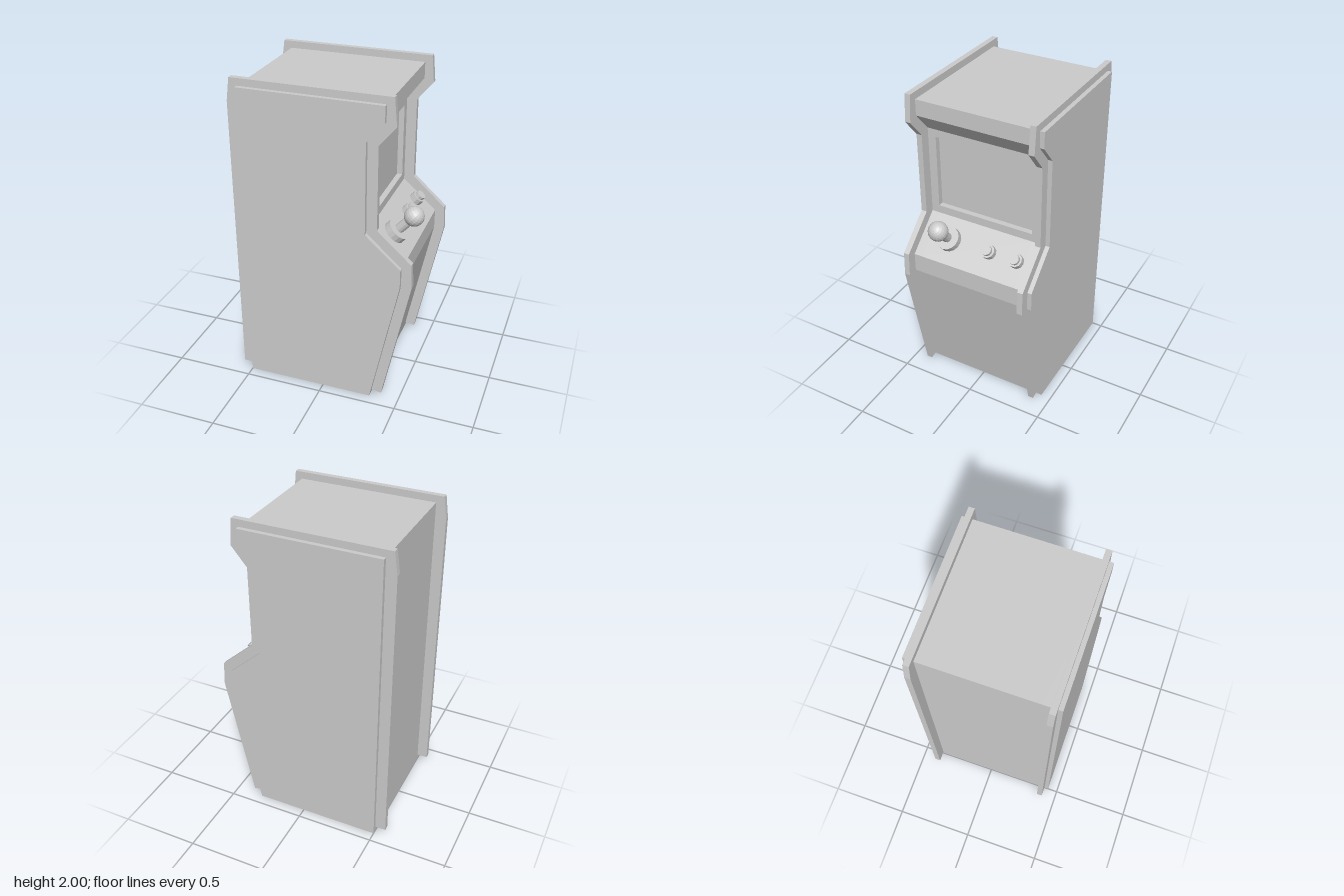
import * as THREE from 'three';

const material = new THREE.MeshStandardMaterial({ color: 0xcccccc, flatShading: true });

// Side outlines in the x-y plane; the cabinet faces +x
const screenNotch = [[0.272, 1.685], [0.237, 1.685], [0.237, 1.214], [0.272, 1.214]];
const bodyOutline = (notch = []) => [
  [-0.5, 0], [-0.5, 1.955], [0.377, 1.955], [0.377, 1.855], [0.272, 1.733],
  ...notch,
  [0.272, 1.162], [0.49, 0.966], [0.49, 0.845], [0.315, 0],
];
const trimOutline = [
  [-0.568, 0.034], [-0.568, 1.86], [-0.548, 2], [0.42, 2], [0.436, 1.833], [0.336, 1.712],
  [0.336, 1.188], [0.548, 0.997], [0.555, 0.845], [0.384, 0.02], [0.32, 0.034],
];

function add(parent, name, geometry) {
  const mesh = new THREE.Mesh(geometry, material);
  mesh.name = name;
  parent.add(mesh);
  return mesh;
}

// Extrude an outline between two z positions
function slab(points, z0, z1) {
  const shape = new THREE.Shape(points.map(([x, y]) => new THREE.Vector2(x, y)));
  return new THREE.ExtrudeGeometry(shape, { depth: z1 - z0, bevelEnabled: false }).translate(0, 0, z0);
}

// Upright cylinder standing on its base
function post(radius, height, sides, base = 0) {
  return new THREE.CylinderGeometry(radius, radius, height, sides).translate(0, base + height / 2, 0);
}

// Group standing square on the sloped control panel
function onPanel(parent, name, z) {
  const group = new THREE.Group();
  group.name = name;
  group.position.set(0.376, 1.068, z);
  group.rotation.z = -Math.atan2(0.196, 0.218);
  parent.add(group);
  return group;
}

export function createModel() {
  const model = new THREE.Group();
  model.name = 'arcadeCabinet';

  // Cabinet: notched middle forms the recessed screen between the sides
  const cabinet = new THREE.Group();
  cabinet.name = 'cabinet';
  model.add(cabinet);
  add(cabinet, 'screenSection', slab(bodyOutline(screenNotch), -0.32, 0.32));
  add(cabinet, 'leftSection', slab(bodyOutline(), -0.435, -0.32));
  add(cabinet, 'rightSection', slab(bodyOutline(), 0.32, 0.435));

  // Raised trim following the outline near both sides
  for (const [name, z] of [['leftTrim', -0.39], ['rightTrim', 0.39]]) {
    add(model, name, slab(trimOutline, z - 0.018, z + 0.018));
  }

  // Joystick
  const joystick = onPanel(model, 'joystick', 0.185);
  add(joystick, 'joystickBase', post(0.075, 0.045, 16));
  add(joystick, 'joystickShaft', post(0.031, 0.17, 12));
  add(joystick, 'joystickBall', new THREE.SphereGeometry(0.062, 16, 12)).position.y = 0.177;

  // Push buttons
  for (const z of [-0.093, -0.278]) {
    const button = onPanel(model, 'button', z);
    add(button, 'buttonCollar', post(0.044, 0.04, 10));
    add(button, 'buttonCap', post(0.032, 0.022, 10, 0.04));
  }

  return model;
}
